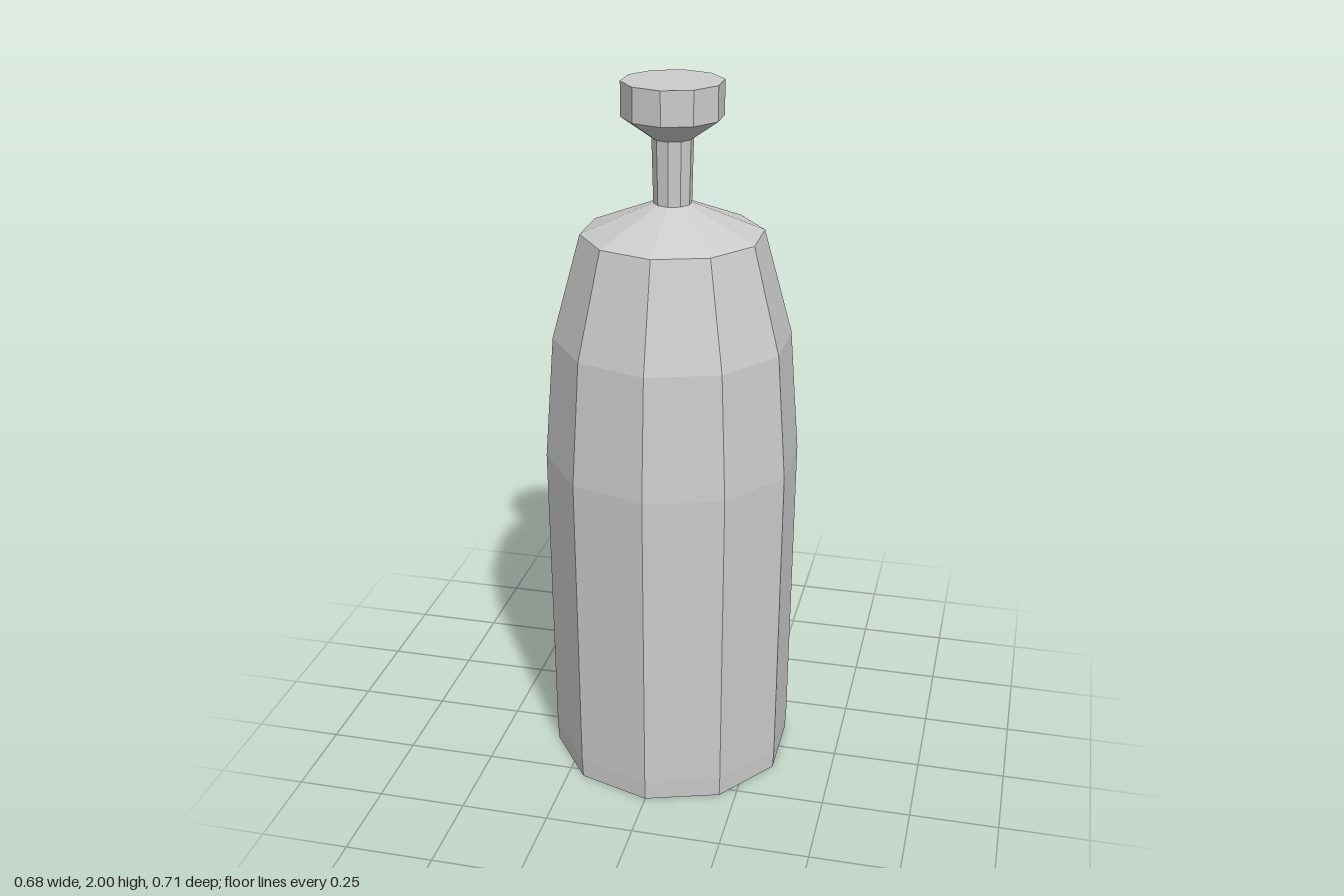
import * as THREE from 'three';

const SIDES = 10;

// Ten-sided turned part from [radius, height] points, bottom to top
function turned(name, profile, material) {
  const points = profile.map(([r, y]) => new THREE.Vector2(r, y));
  const mesh = new THREE.Mesh(new THREE.LatheGeometry(points, SIDES), material);
  mesh.name = name;
  return mesh;
}

export function createModel() {
  const group = new THREE.Group();
  group.name = 'bottle';
  const material = new THREE.MeshStandardMaterial({ color: 0xcccccc, flatShading: true });

  // Closed base, slightly swelling wall, tapered upper body and sloped shoulder
  group.add(turned('body', [
    [0, 0], [0.347, 0], [0.35, 0.06], [0.357, 0.95],
    [0.33, 1.3], [0.25, 1.593], [0.052, 1.675],
  ], material));

  // Slim neck, open ends hidden by the shoulder and stopper
  group.add(turned('neck', [[0.052, 1.675], [0.056, 1.85]], material));

  // Flared stopper with a flat top
  group.add(turned('stopper', [
    [0.056, 1.85], [0.137, 1.907], [0.137, 2], [0, 2],
  ], material));

  return group;
}
